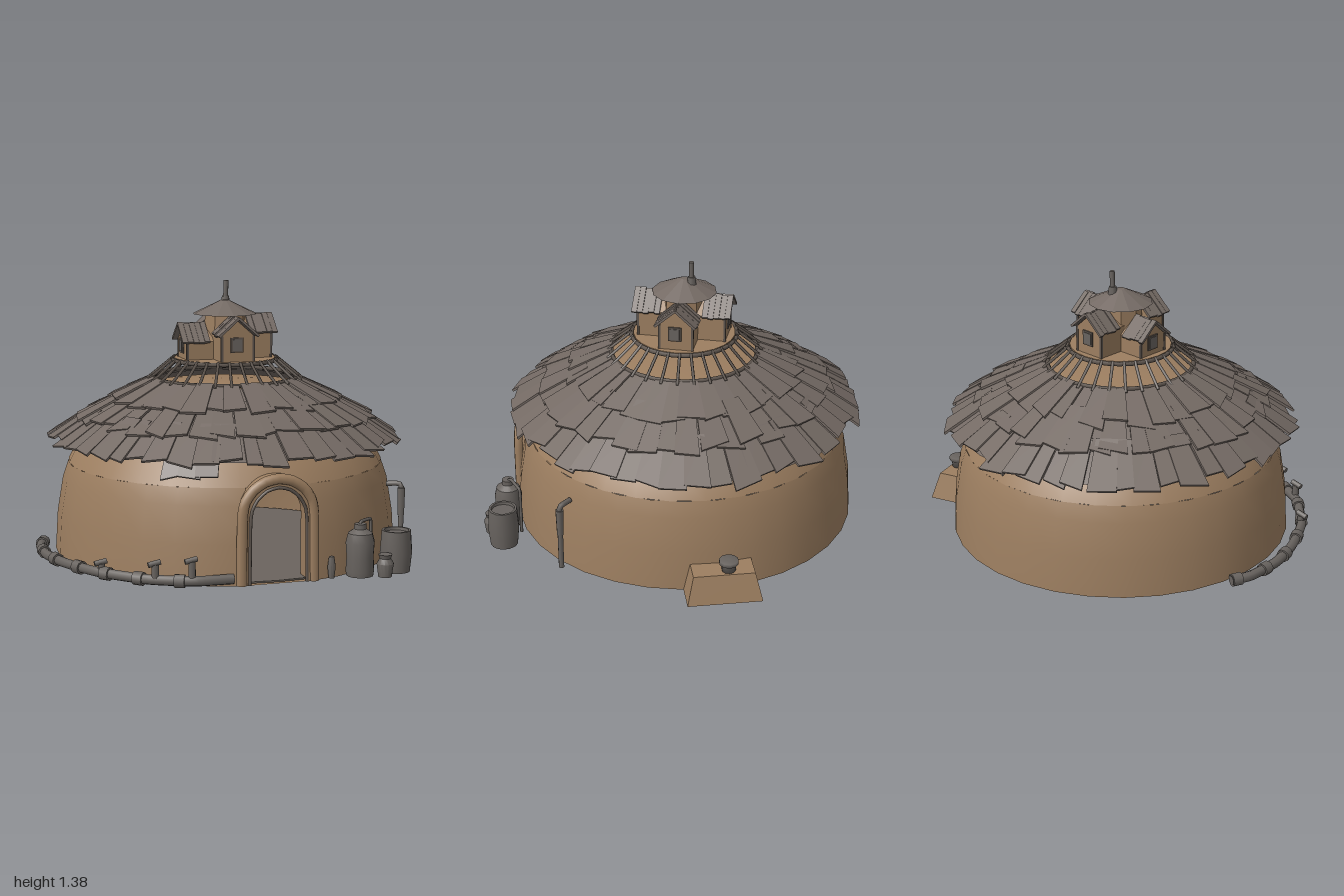
import * as THREE from 'three';
import { mergeGeometries, toCreasedNormals } from 'three/addons/utils/BufferGeometryUtils.js';

const mat = (name, color, extra = {}) => Object.assign(new THREE.MeshStandardMaterial({ color, ...extra }), { name });

export function createModel() {
  const clay = mat('clay', 0x9c7e60, { side: THREE.DoubleSide });
  const shingle = mat('shingle', 0x746a64, { side: THREE.DoubleSide });
  const wood = mat('dark wood', 0x5d544d);
  const metal = mat('dull metal', 0x68635f);
  const stone = mat('floor stone', 0x6b645e);

  let seed = 7;
  const rnd = () => (seed = (seed * 16807) % 2147483647) / 2147483647;
  const jit = (s) => (rnd() - 0.5) * 2 * s;
  const V = (a) => a.map((p) => new THREE.Vector3(...p));
  const V2 = (a) => a.map((p) => new THREE.Vector2(...p));
  const root = new THREE.Group();
  const house = new THREE.Group();
  house.name = 'house';
  house.position.set(-0.005, 0, -0.035);
  root.add(house);
  const add = (parent, name, geo, material, x = 0, y = 0, z = 0) => {
    const m = new THREE.Mesh(geo, material);
    m.name = name;
    m.position.set(x, y, z);
    parent.add(m);
    return m;
  };
  const tube = (pts, r, seg = 24) => new THREE.TubeGeometry(new THREE.CatmullRomCurve3(V(pts), false, 'catmullrom', 0.3), seg, r, 8);
  // Straight rod between two points
  const rod = (a, b, r, sides = 8) => {
    const [p, q] = V([a, b]);
    const d = q.clone().sub(p);
    const g = new THREE.CylinderGeometry(r, r, d.length(), sides);
    g.applyQuaternion(new THREE.Quaternion().setFromUnitVectors(new THREE.Vector3(0, 1, 0), d.normalize()));
    return g.translate(...p.add(q).multiplyScalar(0.5).toArray());
  };

  // Domed clay walls, with a gap for the doorway
  const gap = 0.175;
  add(house, 'lowerWall', new THREE.LatheGeometry(V2([[0.88, 0], [0.868, 0.2], [0.838, 0.38], [0.81, 0.46]]), 30, gap, Math.PI * 2 - 2 * gap), clay);
  add(house, 'upperWall', new THREE.LatheGeometry(V2([[0.81, 0.46], [0.74, 0.59], [0.6, 0.72], [0.4, 0.84], [0, 0.85]]), 30), clay);
  const floor = new THREE.CylinderGeometry(0.85, 0.85, 0.008, 40);
  add(house, 'floor', floor, stone, 0, 0.008, 0);

  // Arched door surround
  const arch = (r, cy, path) => {
    path.moveTo(-r, 0);
    path.lineTo(r, 0);
    path.lineTo(r, cy);
    path.absarc(0, cy, r, 0, Math.PI, false);
    path.lineTo(-r, 0);
    return path;
  };
  const frame = arch(0.19, 0.33, new THREE.Shape());
  frame.holes.push(arch(0.145, 0.32, new THREE.Path()));
  add(root, 'doorSurround', toCreasedNormals(new THREE.ExtrudeGeometry(frame, { depth: 0.1, bevelEnabled: false, curveSegments: 10 }), 0.6), clay, 0, 0, 0.725);
  const archPts = [[-0.182, 0, 0], [-0.178, 0.32, 0]];
  for (let i = 1; i < 8; i++) archPts.push([-0.18 * Math.cos((i * Math.PI) / 8), 0.33 + 0.175 * Math.sin((i * Math.PI) / 8), 0]);
  archPts.push([0.178, 0.32, 0], [0.182, 0, 0]);
  add(root, 'doorMoulding', tube(archPts, 0.027, 36), clay, 0, 0, 0.815);
  add(root, 'doorLiner', tube(archPts.map(([x, y]) => [x * 0.79, y * 0.92, 0]), 0.008, 36), wood, 0, 0, 0.825);

  // Shingle roof: a plain underlay with overlapping rows of ragged planks
  add(house, 'roofUnderlay', new THREE.LatheGeometry(V2([[0.86, 0.59], [0.72, 0.69], [0.54, 0.785], [0.37, 0.87]]), 40), shingle);
  const plank = (w, t, r0, y0, r1, y1, a, taper) => {
    const len = Math.hypot(r1 - r0, y1 - y0);
    const g = new THREE.BoxGeometry(w, t, len);
    const p = g.attributes.position;
    const skew = jit(0.02);
    for (let i = 0; i < p.count; i++) {
      if (p.getZ(i) < 0) p.setX(i, p.getX(i) * taper);
      else p.setZ(i, p.getZ(i) + (p.getX(i) > 0 ? skew : -skew));
    }
    g.rotateX(Math.atan2(y0 - y1, r1 - r0)).translate(0, (y0 + y1) / 2, (r0 + r1) / 2);
    g.rotateY(a);
    g.computeVertexNormals();
    return g;
  };
  const rows = [
    { n: 48, r0: 0.66, y0: 0.735, r1: 0.885, y1: 0.59 },
    { n: 42, r0: 0.5, y0: 0.82, r1: 0.745, y1: 0.7 },
    { n: 34, r0: 0.37, y0: 0.885, r1: 0.59, y1: 0.785 },
  ];
  rows.forEach(({ n, r0, y0, r1, y1 }, k) => {
    const planks = [];
    for (let i = 0; i < n; i++) {
      const a = ((i + jit(0.2)) / n) * Math.PI * 2;
      const e = jit(0.025), lift = jit(0.008);
      const w = ((Math.PI * 2 * r1) / n) * (1.15 + jit(0.15));
      planks.push(plank(w, 0.012, r0, y0 + lift, r1 + e, y1 + lift - e * 0.6, a, r0 / r1));
    }
    // Slipped boards hanging below the eave
    if (k === 0) for (const a of [-0.6, -0.5, -0.4]) planks.push(plank(0.11, 0.012, 0.74, 0.65, 0.84, 0.515 + jit(0.01), a, 1));
    if (k === 0) planks.push(plank(0.11, 0.012, 0.7, 0.7, 0.885, 0.58, Math.PI + 0.03, 1));
    add(house, 'shingleRow' + k, mergeGeometries(planks), shingle);
  });

  // Open slatted vent ring below the lantern tower
  const slats = [];
  for (let i = 0; i < 30; i++) {
    const a = (i / 30) * Math.PI * 2, s = Math.sin(a), c = Math.cos(a);
    slats.push(rod([0.4 * s, 0.875, 0.4 * c], [0.265 * s, 0.985, 0.265 * c], 0.008, 5));
  }
  add(house, 'ventSlats', mergeGeometries(slats), wood);
  for (const [r, y] of [[0.375, 0.885], [0.27, 0.975]]) {
    add(house, 'ventRing', new THREE.TorusGeometry(r, 0.011, 6, 30).rotateX(Math.PI / 2), wood, 0, y, 0);
  }
  add(house, 'towerDeck', new THREE.CylinderGeometry(0.26, 0.26, 0.015, 24), clay, 0, 0.977, 0);

  // Tower core with four gabled dormers
  const tower = new THREE.Group();
  tower.name = 'tower';
  house.add(tower);
  add(tower, 'towerCore', toCreasedNormals(new THREE.CylinderGeometry(0.105, 0.115, 0.25, 8), 0.3), clay, 0, 1.1, 0);
  for (let i = 0; i < 4; i++) {
    const arm = new THREE.Group();
    arm.name = 'dormer' + i;
    arm.rotation.y = (i * Math.PI) / 2;
    tower.add(arm);
    const d = i === 3 ? -0.04 : 0;
    const gable = new THREE.Shape(V2([[-0.085, 0.98], [0.085, 0.98], [0.085, 1.115 + d], [0, 1.19 + d], [-0.085, 1.115 + d]]));
    add(arm, 'dormerWalls', new THREE.ExtrudeGeometry(gable, { depth: 0.225, bevelEnabled: false }), clay);
    add(arm, 'windowFrame', new THREE.BoxGeometry(0.066, 0.075, 0.008), wood, -0.005, 1.07 + d / 2, 0.228);
    add(arm, 'windowPane', new THREE.BoxGeometry(0.048, 0.057, 0.008), metal, -0.005, 1.07 + d / 2, 0.231);
    for (const s of [-1, 1]) {
      add(arm, 'cornerPost', new THREE.BoxGeometry(0.012, 0.135 + d, 0.012), wood, s * 0.083, 1.048 + d / 2, 0.222);
      const boards = [];
      for (let j = 0; j < 5; j++) {
        const b = new THREE.BoxGeometry(0.135 + jit(0.008), 0.012, 0.028).rotateZ(-s * 0.72);
        boards.push(b.translate(s * 0.052, 1.158 + d + jit(0.003), 0.122 + j * 0.029));
      }
      add(arm, 'dormerRoof', mergeGeometries(boards), shingle);
    }
  }
  const cap = new THREE.CylinderGeometry(0.02, 0.165, 0.07, 12).toNonIndexed();
  cap.computeVertexNormals();
  add(tower, 'towerRoof', cap, shingle, 0, 1.243, 0);
  add(tower, 'chimney', rod([0.015, 1.25, -0.04], [0.02, 1.375, -0.04], 0.013), metal);
  add(tower, 'chimneyCollar', new THREE.CylinderGeometry(0.019, 0.024, 0.04, 8), metal, 0.016, 1.275, -0.04);

  // Low side annex with a vent pot
  const annex = new THREE.BoxGeometry(0.32, 0.14, 0.37);
  const ap = annex.attributes.position;
  for (let i = 0; i < ap.count; i++) {
    if (ap.getY(i) > 0) ap.setXYZ(i, ap.getX(i) - (ap.getX(i) > 0 ? 0.04 : 0), ap.getY(i), ap.getZ(i) * 0.82);
  }
  annex.computeVertexNormals();
  add(root, 'sideAnnex', annex, clay, 0.79, 0.07, -0.37).rotation.y = 0.325;
  add(root, 'ventPot', new THREE.LatheGeometry(V2([[0, 0], [0.034, 0], [0.036, 0.035], [0.048, 0.042], [0.048, 0.062], [0, 0.058]]), 10), metal, 0.855, 0.137, -0.42);

  // Ground pipe with collars and valves
  const path = [[-0.93, 0.035, -0.21], [-0.968, 0.035, -0.1], [-0.968, 0.035, 0.09], [-0.915, 0.035, 0.28], [-0.8, 0.035, 0.5], [-0.61, 0.035, 0.7], [-0.41, 0.035, 0.8], [-0.22, 0.035, 0.81]];
  add(root, 'groundPipe', tube(path, 0.025, 50), metal);
  const curve = new THREE.CatmullRomCurve3(V(path), false, 'catmullrom', 0.3);
  for (const t of [0.02, 0.15, 0.28, 0.42, 0.55, 0.68, 0.82]) {
    const c = add(root, 'pipeCollar', new THREE.CylinderGeometry(0.033, 0.033, 0.05, 10), metal);
    c.position.copy(curve.getPointAt(t));
    c.quaternion.setFromUnitVectors(new THREE.Vector3(0, 1, 0), curve.getTangentAt(t));
  }
  for (const [x, z, h] of [[-0.79, 0.51, 0.08], [-0.58, 0.725, 0.11], [-0.42, 0.795, 0.13]]) {
    add(root, 'valveStem', rod([x, 0.04, z], [x, h, z], 0.018), metal);
    add(root, 'valveHandle', rod([x - 0.035, h, z], [x + 0.025, h + 0.012, z], 0.014), metal);
  }

  // Tanks, jars and standpipes beside the door
  const vessel = (name, x, z, pts) => add(root, name, toCreasedNormals(new THREE.LatheGeometry(V2(pts), 14), 0.7), metal, x, 0, z);
  vessel('tallTank', 0.42, 0.81, [[0, 0.005], [0.066, 0.005], [0.07, 0.03], [0.066, 0.1], [0.071, 0.17], [0.06, 0.215], [0.03, 0.235], [0.03, 0.26], [0, 0.26]]);
  vessel('barrel', 0.62, 0.78, [[0, 0.005], [0.07, 0.005], [0.08, 0.1], [0.072, 0.21], [0.06, 0.21], [0.058, 0.195], [0, 0.195]]);
  vessel('smallJar', 0.527, 0.87, [[0, 0.005], [0.033, 0.005], [0.042, 0.07], [0.028, 0.095], [0.034, 0.115], [0, 0.112]]);
  vessel('doorsidePeg', 0.27, 0.82, [[0, 0.005], [0.014, 0.005], [0.02, 0.06], [0.013, 0.11], [0, 0.115]]);
  add(root, 'tankPipe', tube([[0.42, 0.25, 0.81], [0.43, 0.265, 0.79], [0.5, 0.262, 0.73], [0.51, 0.24, 0.72], [0.51, 0.01, 0.72]], 0.008), metal);
  add(root, 'standpipe', tube([[0.79, 0.01, 0.435], [0.79, 0.2, 0.435], [0.79, 0.345, 0.435], [0.775, 0.362, 0.425], [0.72, 0.36, 0.4]], 0.014), metal);
  add(root, 'standpipeSleeve', new THREE.CylinderGeometry(0.021, 0.017, 0.14, 8), metal, 0.79, 0.27, 0.435);
  return root;
}
